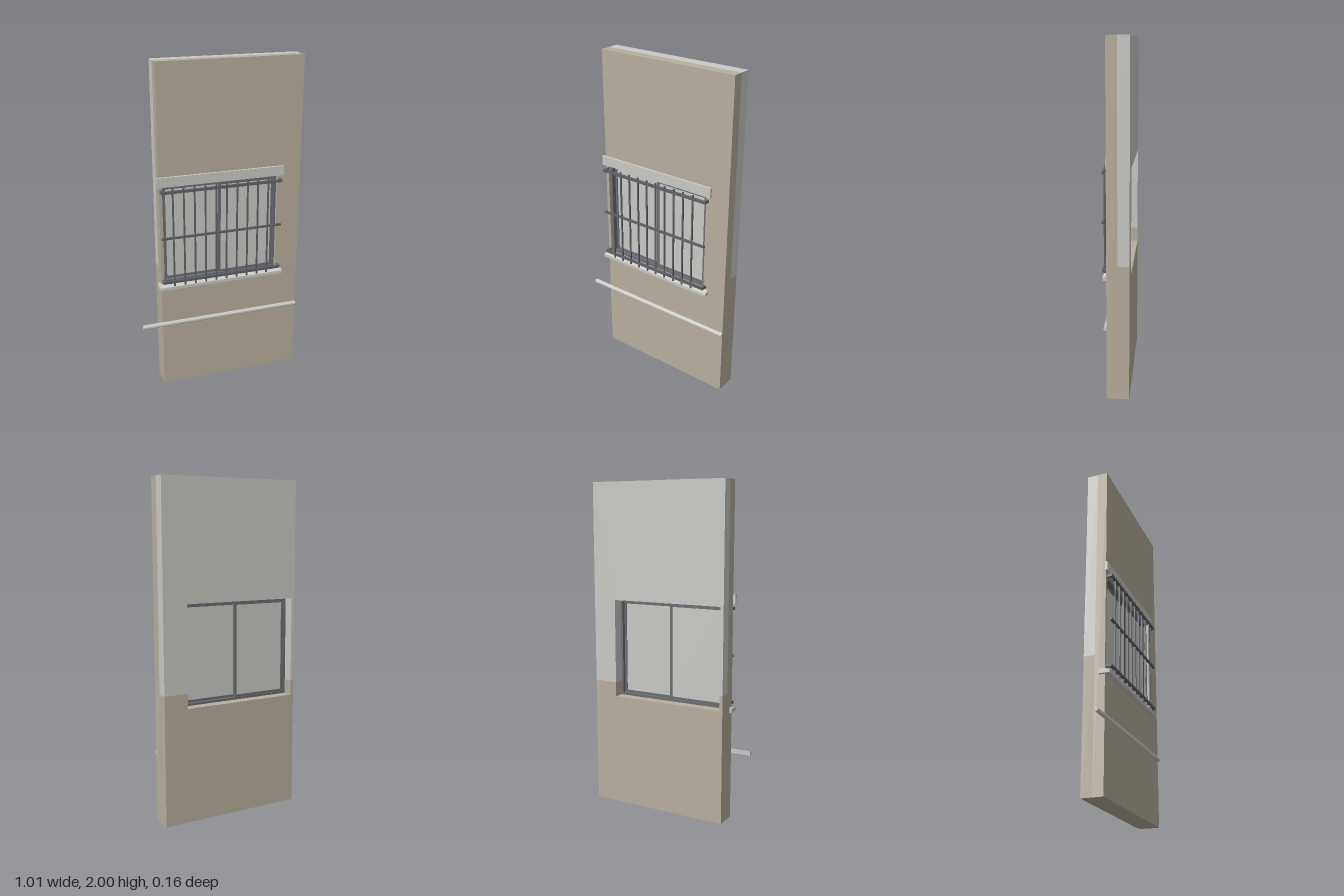
import * as THREE from 'three';

const mat = (name, color) => {
  const m = new THREE.MeshStandardMaterial({ color });
  m.name = name;
  return m;
};

export function createModel() {
  const group = new THREE.Group();
  const tan = mat('tan plaster', 0xb7ae9d);
  const grey = mat('pale grey', 0xc9cac5);
  const metal = mat('dark metal', 0x606268);
  const frameMat = mat('window frame grey', 0x6a6d73);

  const add = (name, geo, material, parent = group) => {
    const mesh = new THREE.Mesh(geo, material);
    mesh.name = name;
    parent.add(mesh);
    return mesh;
  };
  // Box given by its limits on each axis
  const box = (name, x0, x1, y0, y1, z0, z1, material, parent) => {
    const g = new THREE.BoxGeometry(x1 - x0, y1 - y0, z1 - z0);
    g.translate((x0 + x1) / 2, (y0 + y1) / 2, (z0 + z1) / 2);
    return add(name, g, material, parent);
  };
  const outline = pts => pts.map(p => new THREE.Vector2(...p));
  const slab = (name, pts, hole, z0, z1, material) => {
    const s = new THREE.Shape(outline(pts));
    if (hole) s.holes.push(new THREE.Path(outline(hole)));
    const g = new THREE.ExtrudeGeometry(s, { depth: z1 - z0, bevelEnabled: false });
    g.translate(0, 0, z0);
    return add(name, g, material);
  };
  // Profile in (z, y) swept along x
  const sweepX = (name, pts, x0, x1, material) => {
    const s = new THREE.Shape(outline(pts.map(([z, y]) => [-z, y])));
    const g = new THREE.ExtrudeGeometry(s, { depth: x1 - x0, bevelEnabled: false });
    g.rotateY(Math.PI / 2);
    g.translate(x0, 0, 0);
    return add(name, g, material);
  };

  // Wall: outer layer with a window hole, inner layer in two colours
  const [L, R, H] = [-0.38, 0.503, 2];
  const [wl, wr, wb, wt] = [-0.36, 0.355, 0.69, 1.295];
  const [back, mid, front, split] = [-0.083, -0.017, 0.044, 0.78];
  slab('outerWall', [[L, 0], [R, 0], [R, H], [L, H]],
    [[wl, wb], [wl, wt], [wr, wt], [wr, wb]], mid, front, tan);
  slab('innerWallLower', [[L, 0], [R, 0], [R, split], [wr, split], [wr, wb],
    [wl, wb], [wl, split], [L, split]], null, back, mid, tan);
  slab('innerWallUpper', [[L, split], [wl, split], [wl, wt], [wr, wt],
    [wr, split], [R, split], [R, H], [L, H]], null, back, mid, grey);

  // Window: outer frame and two sliding sashes
  const win = new THREE.Group();
  win.name = 'window';
  group.add(win);
  const frame = (name, x0, x1, y0, y1, z0, z1, w) => {
    box(name + 'Left', x0, x0 + w, y0, y1, z0, z1, frameMat, win);
    box(name + 'Right', x1 - w, x1, y0, y1, z0, z1, frameMat, win);
    box(name + 'Bottom', x0 + w, x1 - w, y0, y0 + w, z0, z1, frameMat, win);
    box(name + 'Top', x0 + w, x1 - w, y1 - w, y1, z0, z1, frameMat, win);
  };
  frame('frame', wl, wr, wb, wt, -0.02, 0.025, 0.014);
  const sashes = [[wl + 0.014, 0.006, -0.014], [-0.01, wr - 0.014, 0.002]];
  for (const [x0, x1, z] of sashes) {
    frame('sash', x0, x1, wb + 0.014, wt - 0.014, z, z + 0.015, 0.014);
    box('pane', x0 + 0.01, x1 - 0.01, wb + 0.024, wt - 0.024, z + 0.005, z + 0.01, grey, win);
  }

  // Lintel band, sloping sill and string moulding
  box('lintelBand', -0.395, 0.39, 1.297, 1.355, front - 0.002, 0.058, grey);
  sweepX('sill', [[0.012, 0.66], [0.076, 0.66], [0.076, 0.678], [0.044, 0.689], [0.012, 0.689]],
    -0.395, 0.39, grey);
  sweepX('stringMoulding', [[front - 0.001, 0.407], [0.053, 0.407], [0.059, 0.413],
    [0.059, 0.423], [0.053, 0.431], [front - 0.001, 0.433]], -0.505, R, grey);

  // Security grille: ten uprights, three rails and the returns to the wall
  const grille = new THREE.Group();
  grille.name = 'grille';
  group.add(grille);
  for (let i = 0; i < 10; i++) {
    const x = -0.306 + i * 0.0656;
    box('upright', x - 0.0045, x + 0.0045, 0.682, 1.292, 0.069, 0.077, metal, grille);
  }
  for (const y of [0.71, 0.99, 1.27]) {
    const h = y === 0.99 ? 0.006 : 0.008;
    box('rail', -0.375, 0.372, y - h, y + h, 0.067, 0.08, metal, grille);
    if (y === 0.99) continue;
    for (const s of [-1, 1]) {
      box('wallBracket', s * 0.367 - 0.007, s * 0.367 + 0.007, y - h, y + h,
        front - 0.002, 0.068, metal, grille);
    }
  }
  return group;
}
